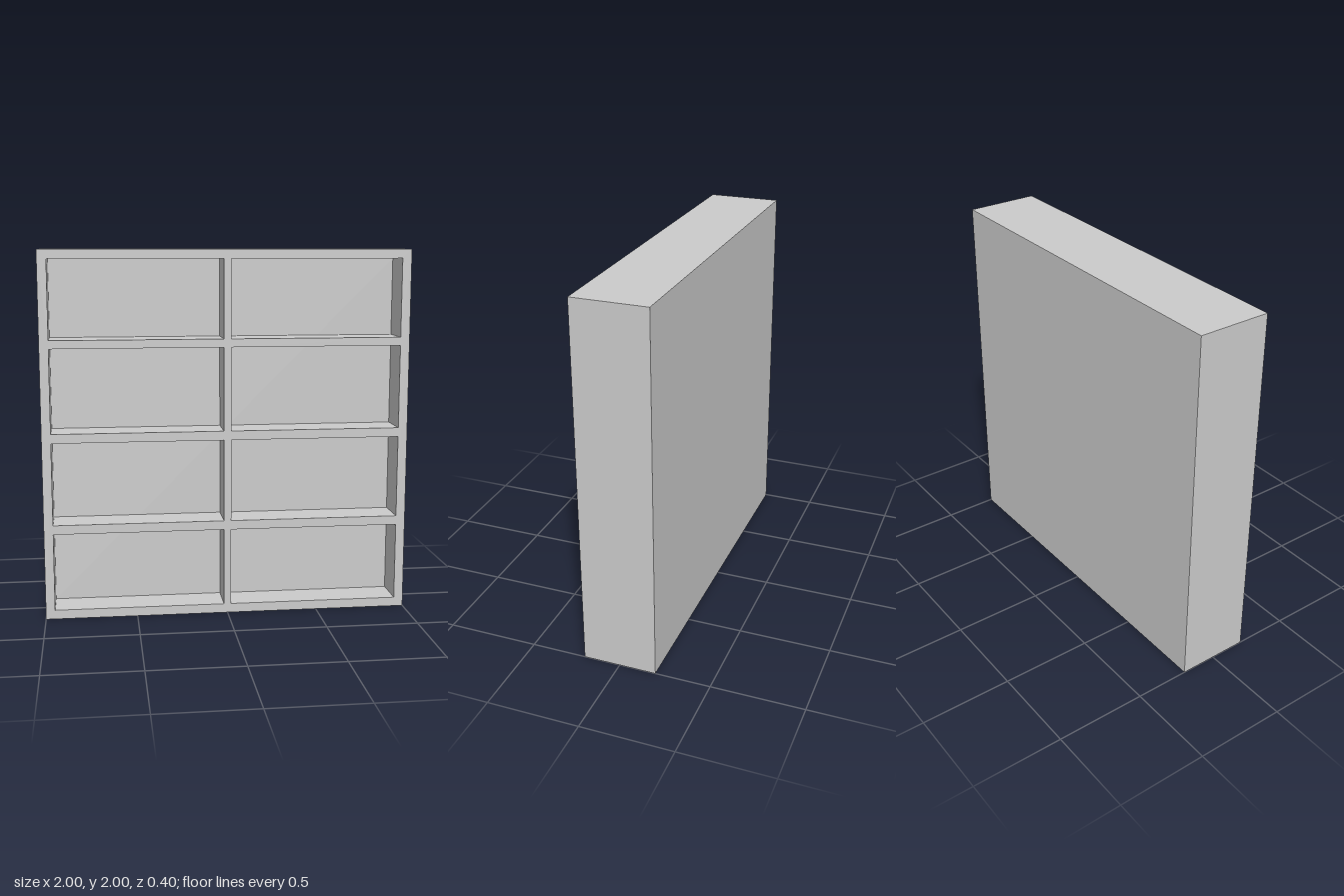
import * as THREE from 'three';

const HALF_W = 1, HEIGHT = 2, HALF_D = 0.2;
const RECESS_Z = 0; // depth at which the compartments end

function rectangle(path, x0, y0, x1, y1) {
  path.moveTo(x0, y0);
  path.lineTo(x1, y0);
  path.lineTo(x1, y1);
  path.lineTo(x0, y1);
  path.closePath();
  return path;
}

export function createModel() {
  const group = new THREE.Group();
  group.name = 'shelfUnit';
  const material = new THREE.MeshStandardMaterial({ color: 0xcccccc, flatShading: true });

  const add = (name, geometry, z) => {
    const mesh = new THREE.Mesh(geometry, material);
    mesh.name = name;
    mesh.position.z = z;
    group.add(mesh);
    return mesh;
  };

  // Outer frame, centre divider and shelves: one slab with eight openings
  const columns = [[-0.95, -0.02], [0.02, 0.95]];
  const rows = [[0.05, 0.475], [0.525, 0.975], [1.025, 1.48], [1.525, 1.95]];
  const outline = rectangle(new THREE.Shape(), -HALF_W, 0, HALF_W, HEIGHT);
  for (const [x0, x1] of columns) {
    for (const [y0, y1] of rows) {
      outline.holes.push(rectangle(new THREE.Path(), x0, y0, x1, y1));
    }
  }
  add('shelfFrame', new THREE.ExtrudeGeometry(outline, {
    depth: HALF_D - RECESS_Z, bevelEnabled: false,
  }), RECESS_Z);

  // Thick solid back closing the compartments
  const backDepth = RECESS_Z + HALF_D;
  add('backPanel', new THREE.BoxGeometry(HALF_W * 2, HEIGHT, backDepth), RECESS_Z - backDepth / 2)
    .position.y = HEIGHT / 2;

  return group;
}
